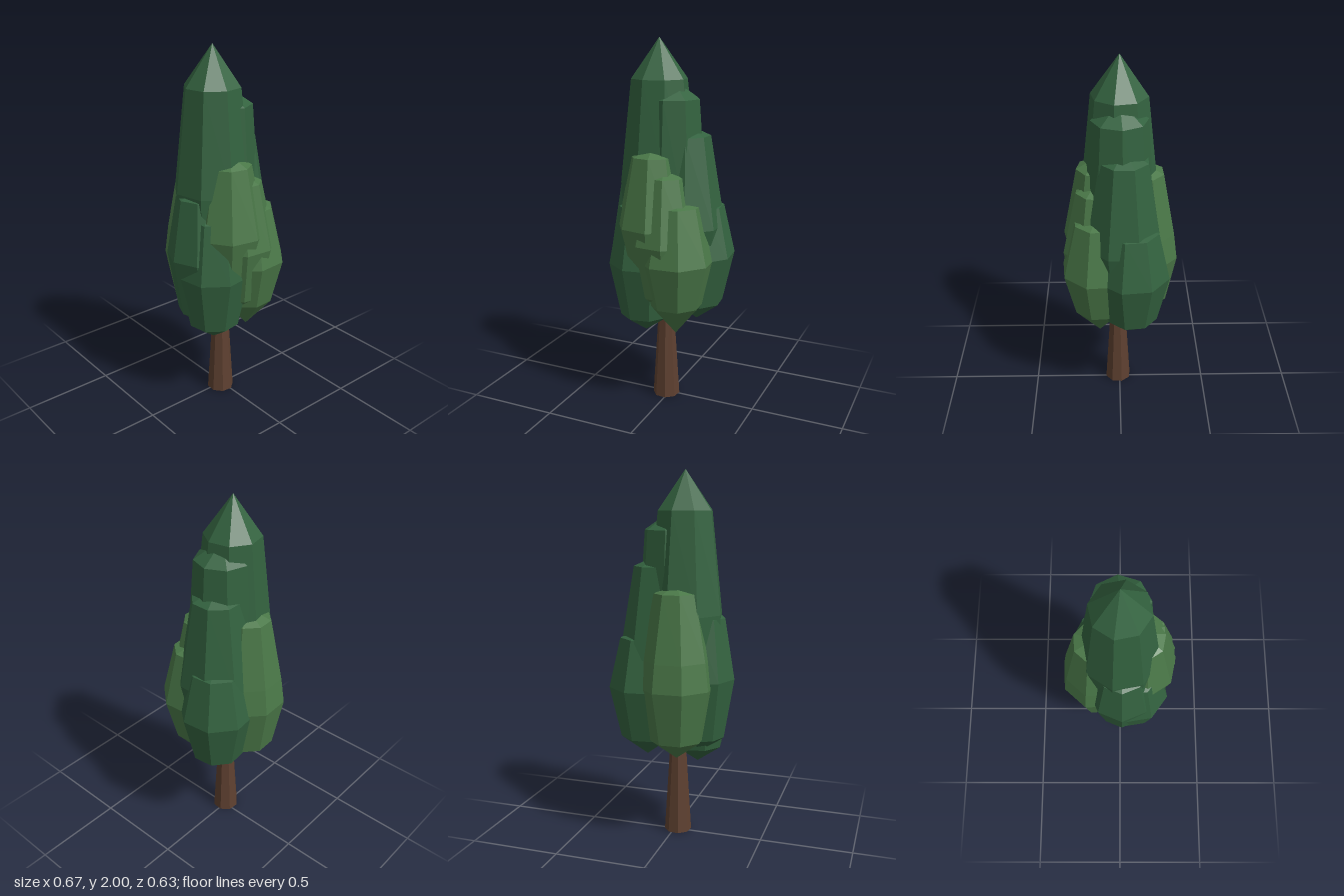
import * as THREE from 'three';

const DARK = 0x33623f, LIGHT = 0x4a7848, BARK = 0x5e4030;

// Each foliage lobe: axis (x, z), turn about the axis, and a profile of
// [radius, height] pairs running from the bottom tip to the top tip.
const LOBES = [
  { name: 'mainCrown', color: DARK, x: -0.06, z: 0, turn: 0.6,
    profile: [[0, 0.5], [0.13, 0.62], [0.2, 0.9], [0.21, 1.25], [0.15, 1.79], [0, 2]] },
  { name: 'upperLobe', color: DARK, x: 0.015, z: 0, turn: 0.08,
    profile: [[0, 0.48], [0.12, 0.6], [0.2, 1.0], [0.148, 1.69], [0, 1.79]] },
  { name: 'middleLobe', color: DARK, x: 0.08, z: -0.02, turn: 0.39,
    profile: [[0, 0.5], [0.13, 0.62], [0.215, 1.02], [0.135, 1.5], [0, 1.56]] },
  { name: 'lowerLeftLobe', color: DARK, x: 0.135, z: -0.065, turn: 0.5,
    profile: [[0, 0.46], [0.145, 0.57], [0.208, 0.85], [0.145, 1.12], [0, 1.16]] },
  { name: 'lowerRightLobe', color: DARK, x: -0.15, z: 0.01, turn: 0,
    profile: [[0, 0.47], [0.13, 0.57], [0.185, 0.9], [0.13, 1.23], [0, 1.28]] },
  { name: 'frontRightLobe', color: DARK, x: -0.115, z: 0.07, turn: 0.56,
    profile: [[0, 0.4], [0.14, 0.5], [0.2, 0.8], [0.14, 1.12], [0, 1.18]] },
  { name: 'backLobe', color: LIGHT, x: -0.05, z: -0.12, turn: 0.44,
    profile: [[0, 0.47], [0.15, 0.58], [0.207, 0.87], [0.187, 1.02], [0.12, 1.37], [0, 1.42]] },
  { name: 'frontTallLobe', color: LIGHT, x: -0.045, z: 0.11, turn: 0.2,
    profile: [[0, 0.58], [0.12, 0.68], [0.195, 1.03], [0.12, 1.4], [0, 1.46]] },
  { name: 'frontMiddleLobe', color: LIGHT, x: 0.025, z: 0.12, turn: 0.3,
    profile: [[0, 0.54], [0.13, 0.65], [0.193, 0.95], [0.115, 1.3], [0, 1.35]] },
  { name: 'frontLowLobe', color: LIGHT, x: 0.085, z: 0.113, turn: 0.47,
    profile: [[0, 0.43], [0.145, 0.6], [0.208, 0.85], [0.135, 1.15], [0, 1.19]] },
];

function addMesh(group, name, geometry, color, x, z, turn) {
  const material = new THREE.MeshStandardMaterial({ color, flatShading: true });
  const mesh = new THREE.Mesh(geometry, material);
  mesh.name = name;
  mesh.position.set(x, 0, z);
  mesh.rotation.y = turn;
  group.add(mesh);
}

export function createModel() {
  const tree = new THREE.Group();
  tree.name = 'tree';

  // Tapered trunk running up into the foliage
  const trunk = new THREE.CylinderGeometry(0.038, 0.075, 0.6, 8);
  trunk.translate(0, 0.3, 0);
  addMesh(tree, 'trunk', trunk, BARK, -0.018, 0.01, 0.3);

  // Overlapping eight-sided foliage lobes
  for (const { name, color, x, z, turn, profile } of LOBES) {
    const points = profile.map(([r, y]) => new THREE.Vector2(r, y));
    addMesh(tree, name, new THREE.LatheGeometry(points, 8), color, x, z, turn);
  }
  return tree;
}
